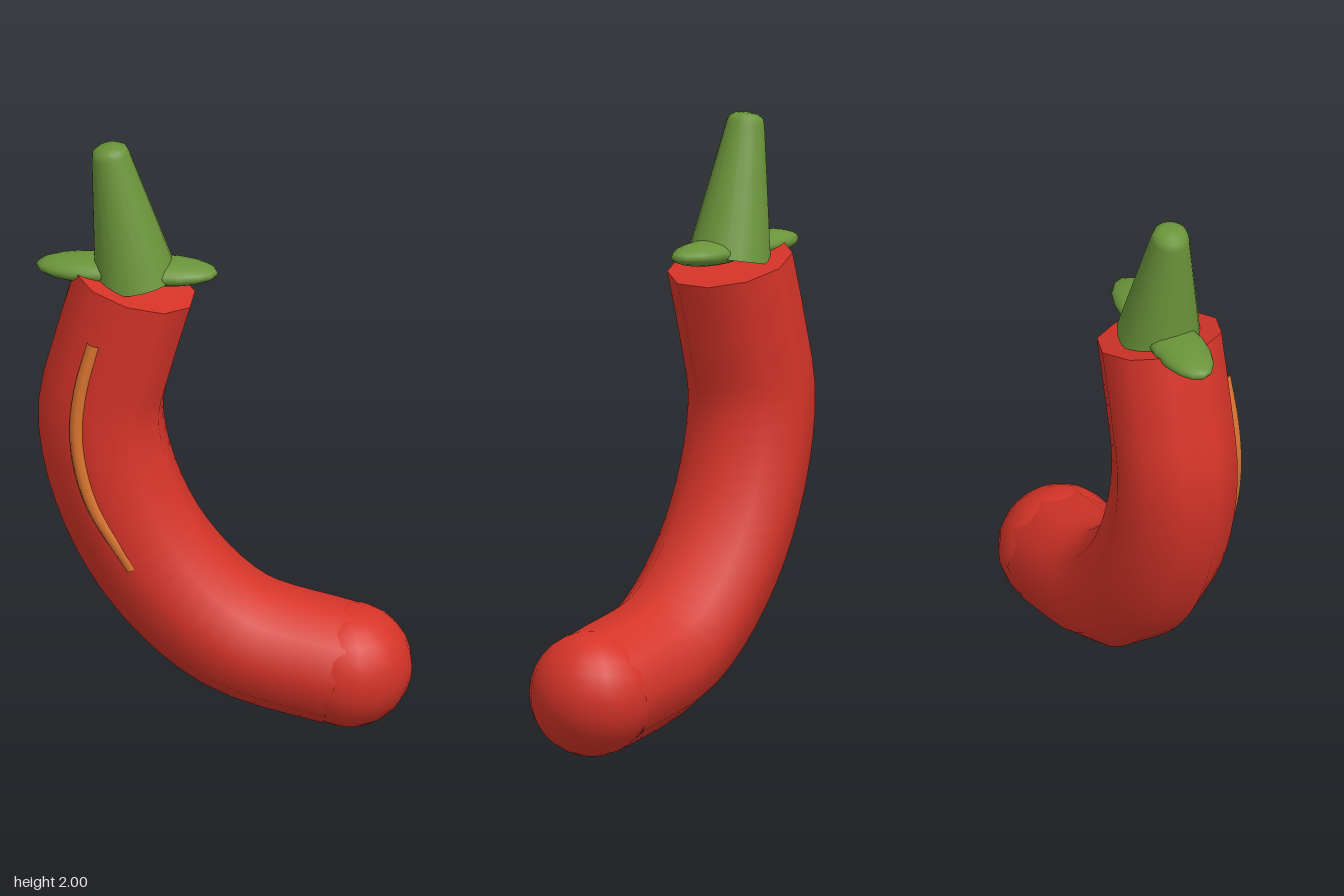
import * as THREE from 'three';

const RED = new THREE.MeshStandardMaterial({ color: 0xd63428 });
const GREEN = new THREE.MeshStandardMaterial({ color: 0x6a943a });
const ORANGE = new THREE.MeshStandardMaterial({ color: 0xdb7530 });

const curveThrough = (points) =>
  new THREE.CatmullRomCurve3(points.map(([x, y, z = 0]) => new THREE.Vector3(x, y, z)));

export function createModel() {
  const model = new THREE.Group();
  model.name = 'chiliPepper';
  const add = (name, geometry, material, x = 0, y = 0, z = 0) => {
    const mesh = new THREE.Mesh(geometry, material);
    mesh.name = name;
    mesh.position.set(x, y, z);
    model.add(mesh);
    return mesh;
  };

  // Curved pod, ten-sided with smooth normals
  const R = 0.205;
  const spine = curveThrough([
    [-0.29, 1.518], [-0.352, 1.3], [-0.4, 1.07], [-0.345, 0.79],
    [-0.2, 0.52], [0.035, 0.305], [0.38, 0.205],
  ]);
  add('body', new THREE.TubeGeometry(spine, 24, R, 10), RED);

  // Flat lid closing the upper end, square to the spine
  const lid = new THREE.CircleGeometry(R, 10);
  const up = spine.getTangent(0).negate();
  const side = new THREE.Vector3(0, 0, 1);
  lid.applyMatrix4(new THREE.Matrix4().makeBasis(side, up.clone().cross(side), up));
  add('bodyTop', lid, RED, -0.29, 1.518, 0);

  // Round tip
  add('tip', new THREE.SphereGeometry(0.203, 20, 14), RED, 0.405, 0.203, 0);

  // Leaning tapered stem with a softly rounded end
  const profile = [
    [0, 0], [0.136, 0], [0.136, 0], [0.062, 0.44], [0.055, 0.462], [0.035, 0.474], [0, 0.478],
  ].map(([r, y]) => new THREE.Vector2(r, y));
  const stem = add('stem', new THREE.LatheGeometry(profile, 20), GREEN, -0.285, 1.527, 0);
  stem.rotation.z = 0.19;

  // Two flattened leaves at the stem base
  for (const [name, x] of [['rightLeaf', -0.43], ['leftLeaf', -0.2]]) {
    const leaf = add(name, new THREE.SphereGeometry(1, 16, 12), GREEN, x, 1.562, 0);
    leaf.scale.set(0.18, 0.041, 0.087);
  }

  // Thin highlight ridge on the front, sinking in at both ends
  const ridge = curveThrough([
    [-0.4, 1.37, 0.178], [-0.443, 1.2, 0.187], [-0.455, 1.03, 0.189],
    [-0.41, 0.82, 0.187], [-0.275, 0.585, 0.182],
  ]);
  add('highlight', new THREE.TubeGeometry(ridge, 20, 0.022, 8), ORANGE);

  model.position.z = -0.003;
  return model;
}
